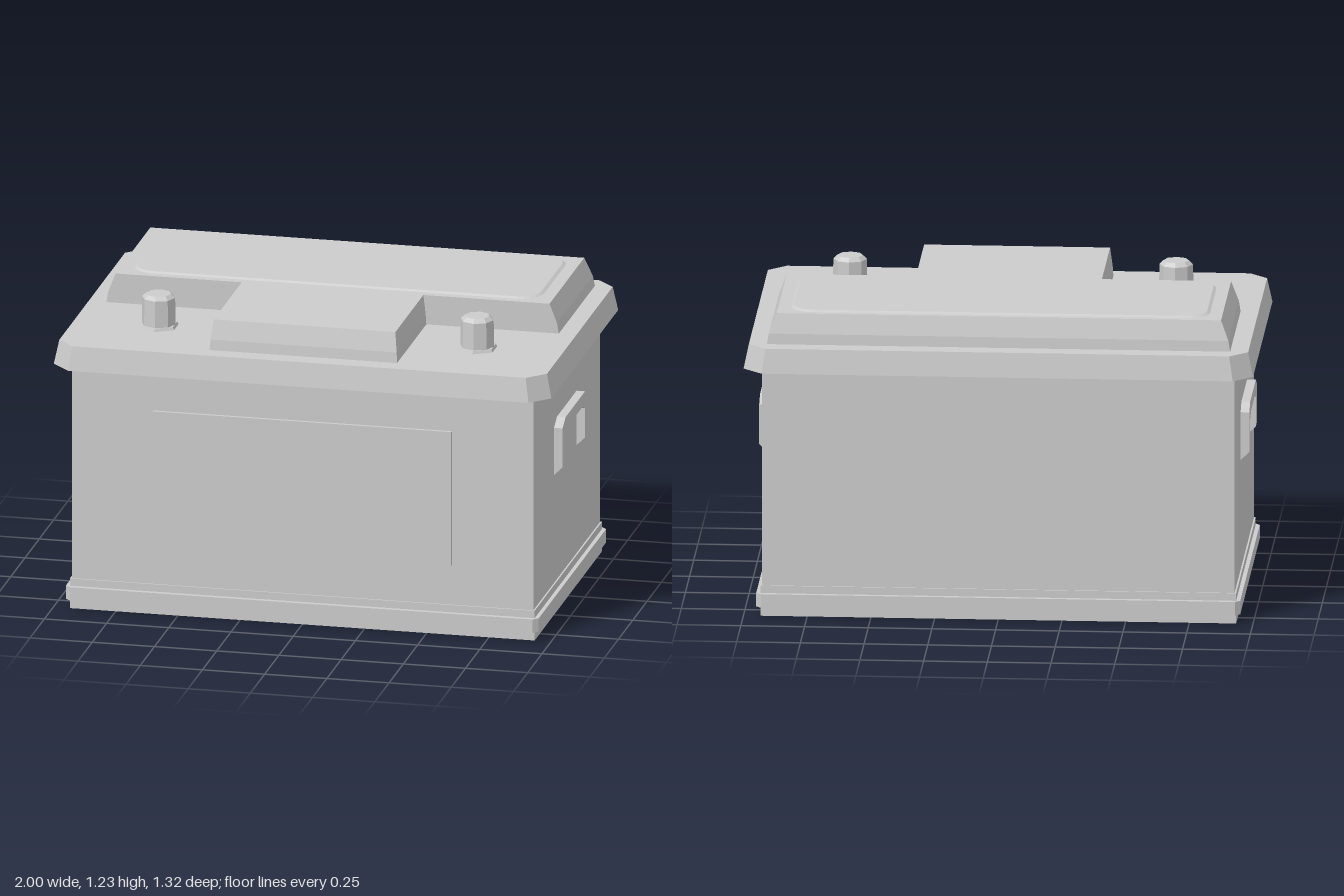
import * as THREE from 'three';

const grey = new THREE.MeshStandardMaterial({ color: 0xcccccc, flatShading: true });

// Closed solid through matching outlines; each ring is { y, pts }, with pts as
// [x, z] running counter-clockwise when seen from above.
function loft(rings) {
  const pos = [];
  const at = (r, i) => {
    const p = r.pts[i % r.pts.length];
    return [p[0], r.y, p[1]];
  };
  for (let k = 0; k + 1 < rings.length; k++) {
    const a = rings[k], b = rings[k + 1];
    for (let i = 0; i < a.pts.length; i++) {
      pos.push(...at(a, i), ...at(a, i + 1), ...at(b, i + 1));
      pos.push(...at(a, i), ...at(b, i + 1), ...at(b, i));
    }
  }
  const cap = (r, up) => {
    const flat = r.pts.map(([x, z]) => new THREE.Vector2(x, -z));
    for (const [a, b, c] of THREE.ShapeUtils.triangulateShape(flat, [])) {
      for (const i of up ? [a, b, c] : [a, c, b]) pos.push(...at(r, i));
    }
  };
  cap(rings[0], false);
  cap(rings[rings.length - 1], true);
  const geo = new THREE.BufferGeometry();
  geo.setAttribute('position', new THREE.Float32BufferAttribute(pos, 3));
  geo.computeVertexNormals();
  return geo;
}

// Rectangle with cut corners
const cutRect = (x, z, c) => [
  [-x + c, z], [x - c, z], [x, z - c], [x, -z + c],
  [x - c, -z], [-x + c, -z], [-x, -z + c], [-x, z - c],
];

// T outline of the raised cover: wide bar at the back, tongue to the front
const tOutline = (barX, tongueX, back, front) => [
  [-tongueX, front], [tongueX, front], [tongueX, 0.06], [barX, 0.06],
  [barX, back], [-barX, back], [-barX, 0.06], [-tongueX, 0.06],
];

// Rectangle with rounded corners
function roundRect(x, z0, z1, r, steps = 5) {
  const pts = [];
  const corners = [[x - r, z0 + r, 0], [-x + r, z0 + r, 1], [-x + r, z1 - r, 2], [x - r, z1 - r, 3]];
  for (const [cx, cz, q] of corners) {
    for (let i = 0; i <= steps; i++) {
      const t = (q + i / steps) * Math.PI / 2;
      pts.push([cx + r * Math.cos(t), cz - r * Math.sin(t)]);
    }
  }
  return pts;
}

// Angular U-shaped handle standing out along +x, its leg ends cut at a slant
function handleGeometry() {
  const half = [[0.225, 0.56], [0.225, 0.76], [0.17, 0.79]];
  const inner = [[0.12, 0.74], [0.172, 0.72], [0.172, 0.56]];
  const flip = (list) => list.map(([z, y]) => [-z, y]).reverse();
  const pts = [...half, ...flip(half), ...flip(inner), ...inner];
  const shape = new THREE.Shape(pts.map(([z, y]) => new THREE.Vector2(-z, y)));
  const geo = new THREE.ExtrudeGeometry(shape, { depth: 0.04, bevelEnabled: false });
  const p = geo.attributes.position;
  for (let i = 0; i < p.count; i++) {
    if (p.getZ(i) > 0.02 && p.getY(i) < 0.57) p.setY(i, 0.6);
  }
  geo.rotateY(Math.PI / 2);
  geo.computeVertexNormals();
  return geo;
}

export function createModel() {
  const group = new THREE.Group();
  const add = (name, geo, x = 0, y = 0, z = 0) => {
    const mesh = new THREE.Mesh(geo, grey);
    mesh.name = name;
    mesh.position.set(x, y, z);
    group.add(mesh);
    return mesh;
  };

  // Case with its foot band and rib
  add('case', new THREE.BoxGeometry(1.855, 1.0, 1.17), 0, 0.505, 0);
  add('footBand', new THREE.BoxGeometry(1.868, 0.122, 1.182), 0, 0.061, 0);
  const rib = cutRect(0.95, 0.61, 0.02);
  add('footRib', loft([{ y: 0.037, pts: rib }, { y: 0.092, pts: rib }]));

  // Front panel
  add('frontPanel', new THREE.BoxGeometry(1.2, 0.55, 0.03), 0, 0.56, 0.583);

  // Overhanging lid with cut corners
  add('lid', loft([
    { y: 0.998, pts: cutRect(1.0, 0.66, 0.075) },
    { y: 1.095, pts: cutRect(0.98, 0.645, 0.07) },
  ]));

  // Raised T-shaped cover and its rounded top panel
  add('cover', loft([
    { y: 1.09, pts: tOutline(0.91, 0.377, -0.572, 0.572) },
    { y: 1.137, pts: tOutline(0.902, 0.374, -0.568, 0.568) },
    { y: 1.215, pts: tOutline(0.872, 0.365, -0.548, 0.55) },
  ]));
  add('topPanel', loft([
    { y: 1.213, pts: roundRect(0.825, -0.527, 0.03, 0.09) },
    { y: 1.222, pts: roundRect(0.81, -0.512, 0.017, 0.08) },
  ]));

  // Terminals: hexagonal collar, eight-sided post with a bevelled top
  const post = new THREE.LatheGeometry(
    [[0, 0], [0.068, 0], [0.066, 0.122], [0.05, 0.137], [0, 0.137]].map(([r, y]) => new THREE.Vector2(r, y)), 8);
  const collar = new THREE.CylinderGeometry(0.076, 0.082, 0.014, 6);
  // Side handles
  const handle = handleGeometry();
  for (const [side, s] of [['left', 1], ['right', -1]]) {
    add(side + 'Collar', collar, s * 0.64, 1.1, 0.315);
    add(side + 'Terminal', post, s * 0.64, 1.093, 0.315);
    add(side + 'Handle', handle, s * 0.922).rotation.y = s > 0 ? 0 : Math.PI;
  }
  return group;
}
